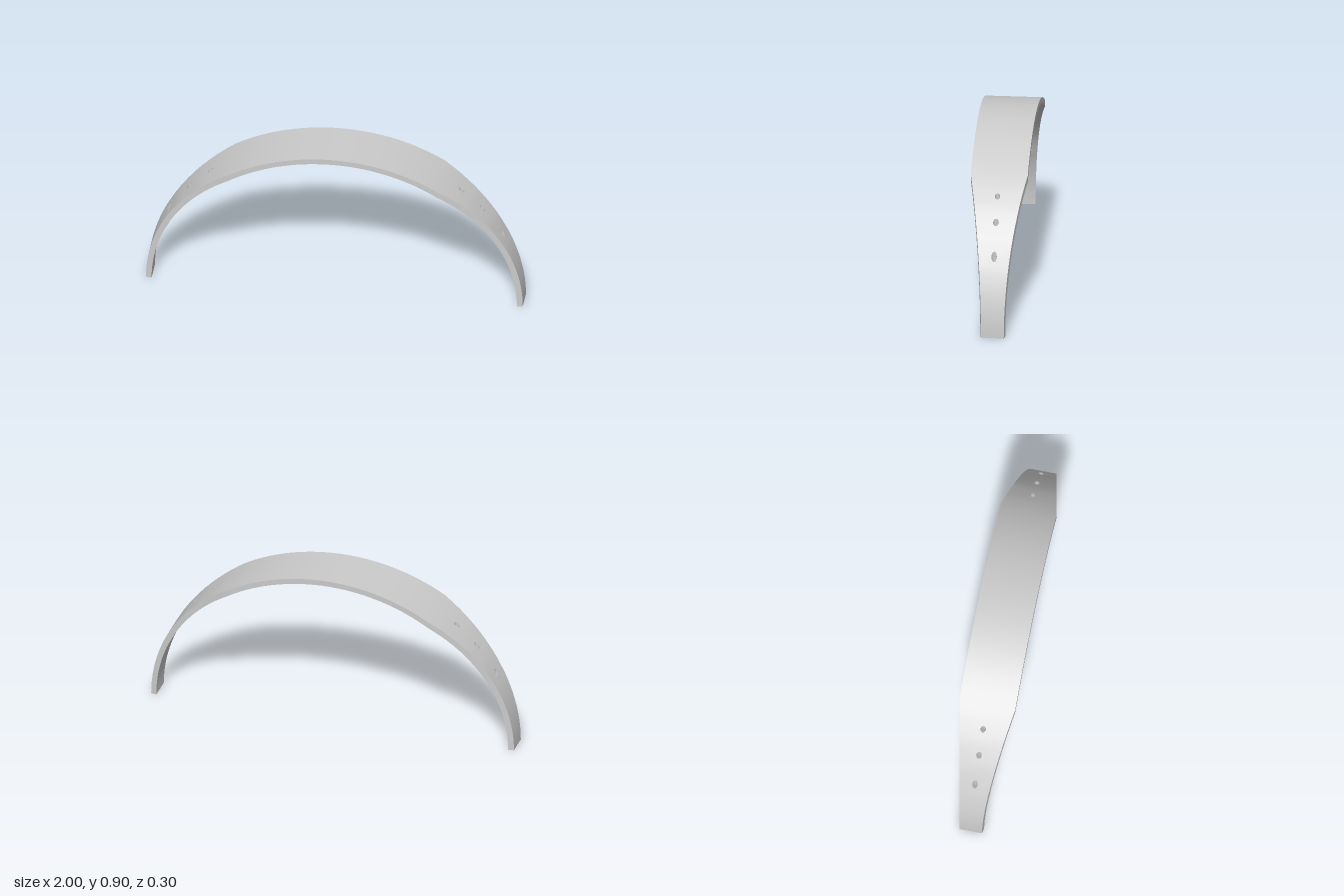
import * as THREE from 'three';
import { toCreasedNormals } from 'three/addons/utils/BufferGeometryUtils.js';

const OUTER = { a: 1, b: 0.9, sign: 1 };
const INNER = { a: 0.97, b: 0.87, sign: -1 };
const KINK = 0.555, HOLES = [0.887, 0.777, 0.667], HOLE_R = 0.014, CELL = 0.02, SIDES = 20;

// Half width of the band: full in the middle, tapering to the feet
const halfWidth = (x) => Math.min(0.15, 0.06 + 0.09 * (1 - Math.abs(x)) / (1 - KINK));
const onArc = (s, x, z) => new THREE.Vector3(x, s.b * Math.sqrt(Math.max(0, 1 - (x / s.a) ** 2)), z);

// Stations along half the arc, from foot to crown; hole cells stay undivided
function stations(s) {
  const marks = [s.a];
  const steps = [10];
  HOLES.forEach((h, i) => {
    marks.push(h + CELL, h - CELL);
    steps.push(1, i < 2 ? 2 : 3);
  });
  marks.push(KINK, 0);
  steps.push(18);
  const xs = [s.a];
  for (let i = 0; i < marks.length - 1; i++) {
    const t0 = Math.acos(marks[i] / s.a), t1 = Math.acos(marks[i + 1] / s.a);
    for (let k = 1; k <= steps[i]; k++) xs.push(s.a * Math.cos(t0 + (t1 - t0) * k / steps[i]));
  }
  return xs;
}

function bandGeometry() {
  const pos = [];
  // Adds a triangle so that it faces the given direction
  const tri = (p, q, r, dir) => {
    const n = q.clone().sub(p).cross(r.clone().sub(p));
    const order = n.dot(dir) < 0 ? [p, r, q] : [p, q, r];
    order.forEach((v) => pos.push(v.x, v.y, v.z));
  };
  const quad = (p, q, r, s, dir) => { tri(p, q, r, dir); tri(p, r, s, dir); };
  const circle = (h) => Array.from({ length: SIDES }, (_, k) => {
    const t = k / SIDES * Math.PI * 2;
    return new THREE.Vector2(h + HOLE_R * Math.cos(t), HOLE_R * Math.sin(t));
  });
  const xo = stations(OUTER), xi = stations(INNER);

  for (const m of [1, -1]) {
    // Outer and inner faces, with round openings in the hole cells
    for (const [s, xs] of [[OUTER, xo], [INNER, xi]]) {
      const at = (v) => { const p = onArc(s, v.x, v.y); p.x *= m; return p; };
      for (let i = 0; i < xs.length - 1; i++) {
        const x0 = xs[i], x1 = xs[i + 1], w0 = halfWidth(x0), w1 = halfWidth(x1);
        const outline = [[x0, -w0], [x0, w0], [x1, w1], [x1, -w1]].map((c) => new THREE.Vector2(...c));
        const dir = at(new THREE.Vector2((x0 + x1) / 2, 0)).multiplyScalar(s.sign);
        const hole = HOLES.find((h) => h < x0 && h > x1 && x0 - x1 < 2 * CELL + 0.001);
        if (hole === undefined) {
          quad(...outline.map(at), dir);
        } else {
          const ring = circle(hole);
          const pts = [...outline, ...ring].map(at);
          THREE.ShapeUtils.triangulateShape(outline, [ring])
            .forEach(([a, b, c]) => tri(pts[a], pts[b], pts[c], dir));
        }
      }
    }
    const edge = (s, x, side) => {
      const p = onArc(s, x, side * halfWidth(x));
      p.x *= m;
      return p;
    };
    // Front and back edges
    for (const side of [1, -1]) {
      for (let i = 0; i < xo.length - 1; i++) {
        quad(edge(OUTER, xo[i], side), edge(OUTER, xo[i + 1], side),
          edge(INNER, xi[i + 1], side), edge(INNER, xi[i], side), new THREE.Vector3(0, 0, side));
      }
    }
    // Foot end
    quad(edge(OUTER, OUTER.a, 1), edge(OUTER, OUTER.a, -1),
      edge(INNER, INNER.a, -1), edge(INNER, INNER.a, 1), new THREE.Vector3(0, -1, 0));
    // Vertical hole walls
    for (const h of HOLES) {
      const ring = circle(h);
      ring.forEach((p, k) => {
        const q = ring[(k + 1) % SIDES];
        const wall = [[OUTER, p], [OUTER, q], [INNER, q], [INNER, p]].map(([s, v]) => {
          const c = onArc(s, v.x, v.y);
          c.x *= m;
          return c;
        });
        quad(...wall, new THREE.Vector3(m * (h - (p.x + q.x) / 2), 0, -(p.y + q.y) / 2));
      });
    }
  }
  const geo = new THREE.BufferGeometry();
  geo.setAttribute('position', new THREE.Float32BufferAttribute(pos, 3));
  return toCreasedNormals(geo, 0.5);
}

export function createModel() {
  const group = new THREE.Group();
  group.name = 'archedHeadband';
  const band = new THREE.Mesh(bandGeometry(), new THREE.MeshStandardMaterial({ color: 0xcccccc }));
  band.name = 'band';
  group.add(band);
  return group;
}
